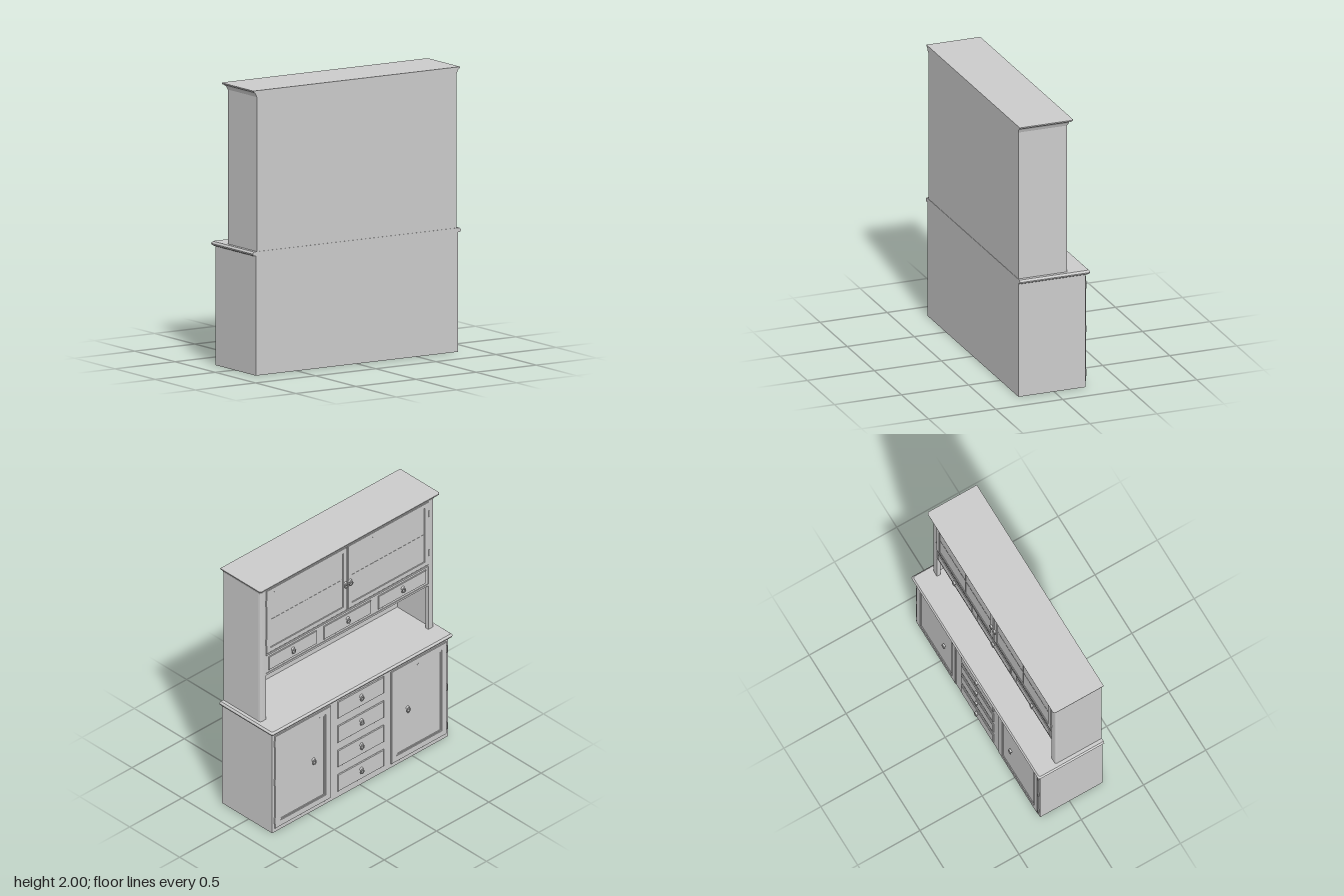
import * as THREE from 'three';
import { toCreasedNormals } from 'three/addons/utils/BufferGeometryUtils.js';

const material = new THREE.MeshStandardMaterial({ color: 0xcccccc, side: THREE.DoubleSide });

function add(parent, name, geometry) {
  const mesh = new THREE.Mesh(geometry, material);
  mesh.name = name;
  parent.add(mesh);
  return mesh;
}

// Box given by its limits on each axis
function box(parent, name, x0, x1, y0, y1, z0, z1) {
  const mesh = add(parent, name, new THREE.BoxGeometry(x1 - x0, y1 - y0, z1 - z0));
  mesh.position.set((x0 + x1) / 2, (y0 + y1) / 2, (z0 + z1) / 2);
  return mesh;
}

function rect(target, x0, x1, y0, y1) {
  target.moveTo(x0, y0);
  target.lineTo(x1, y0);
  target.lineTo(x1, y1);
  target.lineTo(x0, y1);
  target.closePath();
  return target;
}

// Rectangular frame or bevelled plate between z0 (outer) and z1
function plate(parent, name, x0, x1, y0, y1, z0, z1, border = 0, bevel = 0.003) {
  const b = bevel;
  const shape = rect(new THREE.Shape(), x0 + b, x1 - b, y0 + b, y1 - b);
  if (border) {
    const o = border + b;
    shape.holes.push(rect(new THREE.Path(), x0 + o, x1 - o, y0 + o, y1 - o));
  }
  const geometry = new THREE.ExtrudeGeometry(shape, {
    depth: z1 - z0 - 2 * b, bevelEnabled: true, bevelSize: b, bevelThickness: b, bevelSegments: 1,
  });
  geometry.translate(0, 0, z0 + b);
  return add(parent, name, geometry);
}

// Stacked outlines [y, halfWidth, frontZ], flat at the back, with rounded front corners
function moulding(parent, name, rings, backZ, radius) {
  const steps = 6, positions = [], index = [];
  const n = 2 * (steps + 1) + 2;
  for (const [y, hx, front] of rings) {
    positions.push(hx, y, backZ);
    for (const side of [1, -1]) {
      for (let i = 0; i <= steps; i++) {
        const t = (side > 0 ? i : steps - i) / steps * Math.PI / 2;
        positions.push(side * (hx - radius + radius * Math.cos(t)), y, front + radius - radius * Math.sin(t));
      }
    }
    positions.push(-hx, y, backZ);
  }
  for (let r = 0; r < rings.length - 1; r++) {
    for (let i = 0; i < n; i++) {
      const a = r * n + i, b = r * n + (i + 1) % n;
      index.push(a, a + n, b, b, a + n, b + n);
    }
  }
  const top = (rings.length - 1) * n;
  for (let i = 1; i < n - 1; i++) {
    index.push(0, i, i + 1, top, top + i + 1, top + i);
  }
  const geometry = new THREE.BufferGeometry();
  geometry.setAttribute('position', new THREE.Float32BufferAttribute(positions, 3));
  geometry.setIndex(index);
  return add(parent, name, toCreasedNormals(geometry, 0.6));
}

// Small boss with a hanging ring
function pull(parent, x, y, z) {
  const group = new THREE.Group();
  group.name = 'ringPull';
  const boss = add(group, 'boss', new THREE.CylinderGeometry(0.011, 0.015, 0.012, 14));
  boss.rotation.x = -Math.PI / 2;
  boss.position.set(0, 0.01, -0.006);
  const ring = add(group, 'ring', new THREE.TorusGeometry(0.015, 0.004, 8, 18));
  ring.position.set(0, -0.008, -0.011);
  group.position.set(x, y, z);
  parent.add(group);
}

function hinge(parent, x, y, z) {
  add(parent, 'hinge', new THREE.CylinderGeometry(0.006, 0.006, 0.05, 10)).position.set(x, y, z);
}

function buildBase() {
  const base = new THREE.Group();
  base.name = 'baseCabinet';
  box(base, 'baseBack', -0.84, 0.84, 0, 0.84, 0.245, 0.265);
  box(base, 'baseFront', -0.84, 0.84, 0, 0.84, -0.235, -0.21);
  box(base, 'drawerCaseFloor', -0.28, 0.28, 0.12, 0.14, -0.21, 0.245);
  for (const s of [-1, 1]) {
    const span = (a, b) => (s > 0 ? [a, b] : [-b, -a]);
    box(base, 'baseSide', ...span(0.815, 0.84), 0, 0.84, -0.21, 0.245);
    box(base, 'divider', ...span(0.28, 0.3), 0.08, 0.84, -0.21, 0.245);
    box(base, 'cupboardFloor', ...span(0.3, 0.815), 0.15, 0.17, -0.21, 0.245);
    // Framed cupboard door
    plate(base, 'doorFrame', ...span(0.29, 0.82), 0.035, 0.815, -0.246, -0.235, 0.045);
    plate(base, 'doorMoulding', ...span(0.335, 0.775), 0.08, 0.77, -0.243, -0.235, 0.012, 0.002);
    box(base, 'doorPanel', ...span(0.345, 0.765), 0.09, 0.76, -0.239, -0.235);
    pull(base, s * 0.45, 0.425, -0.239);
    for (const y of [0.1, 0.425, 0.75]) hinge(base, s * 0.822, y, -0.241);
  }
  for (let i = 0; i < 4; i++) {
    const y = 0.125 + i * 0.206;
    plate(base, 'drawer', -0.22, 0.22, y - 0.072, y + 0.072, -0.247, -0.235, 0, 0.005);
    pull(base, 0, y + 0.005, -0.247);
  }
  moulding(base, 'worktop', [
    [0.84, 0.855, -0.252], [0.845, 0.863, -0.26], [0.855, 0.866, -0.263],
    [0.862, 0.863, -0.26], [0.87, 0.855, -0.252],
  ], 0.265, 0.015);
  return base;
}

function buildHutch() {
  const hutch = new THREE.Group();
  hutch.name = 'hutch';
  box(hutch, 'hutchBack', -0.83, 0.83, 0.87, 1.97, 0.245, 0.262);
  box(hutch, 'backRail', -0.805, 0.805, 0.87, 1.0, 0.235, 0.245);
  box(hutch, 'nicheCeiling', -0.805, 0.805, 1.24, 1.265, -0.095, 0.245);
  box(hutch, 'frontBoard', -0.775, 0.775, 1.24, 1.97, -0.102, -0.08);
  box(hutch, 'drawerLedge', -0.775, 0.775, 1.405, 1.418, -0.11, -0.1);
  box(hutch, 'lowerBead', -0.775, 0.775, 1.24, 1.255, -0.107, -0.1);
  for (const s of [-1, 1]) {
    const span = (a, b) => (s > 0 ? [a, b] : [-b, -a]);
    box(hutch, 'hutchSide', ...span(0.805, 0.83), 0.87, 1.97, -0.085, 0.262);
    // Rounded corner post
    const post = new THREE.Shape();
    post.moveTo(s * 0.775, 0.08);
    post.lineTo(s * 0.83, 0.08);
    post.lineTo(s * 0.83, 0.09);
    post.quadraticCurveTo(s * 0.83, 0.107, s * 0.813, 0.107);
    post.lineTo(s * 0.775, 0.107);
    const geometry = new THREE.ExtrudeGeometry(post, { depth: 1.1, bevelEnabled: false, curveSegments: 6 });
    geometry.rotateX(-Math.PI / 2);
    add(hutch, 'cornerPost', toCreasedNormals(geometry, 0.6)).position.y = 0.87;
    // Glazed style door with crossed bars
    plate(hutch, 'upperDoorFrame', ...span(0.003, 0.775), 1.422, 1.955, -0.112, -0.102, 0.035);
    box(hutch, 'upperDoorPanel', ...span(0.035, 0.742), 1.455, 1.922, -0.106, -0.102);
    box(hutch, 'uprightBar', ...span(0.384, 0.394), 1.455, 1.922, -0.1075, -0.105);
    box(hutch, 'crossBar', ...span(0.035, 0.742), 1.684, 1.694, -0.1075, -0.105);
    pull(hutch, s * 0.022, 1.645, -0.112);
    for (const y of [1.52, 1.85]) hinge(hutch, s * 0.777, y, -0.108);
  }
  for (let i = -1; i <= 1; i++) {
    const x = i * 0.525;
    plate(hutch, 'upperDrawer', x - 0.228, x + 0.228, 1.275, 1.388, -0.112, -0.102, 0, 0.004);
    pull(hutch, x, 1.337, -0.112);
  }
  // Flared cornice
  moulding(hutch, 'cornice', [
    [1.955, 0.832, -0.109], [1.965, 0.836, -0.114], [1.972, 0.838, -0.115], [1.98, 0.843, -0.12],
    [1.987, 0.851, -0.129], [1.991, 0.859, -0.137], [2, 0.86, -0.138],
  ], 0.264, 0.018);
  return hutch;
}

export function createModel() {
  const model = new THREE.Group();
  model.name = 'kitchenDresser';
  model.add(buildBase(), buildHutch());
  return model;
}
